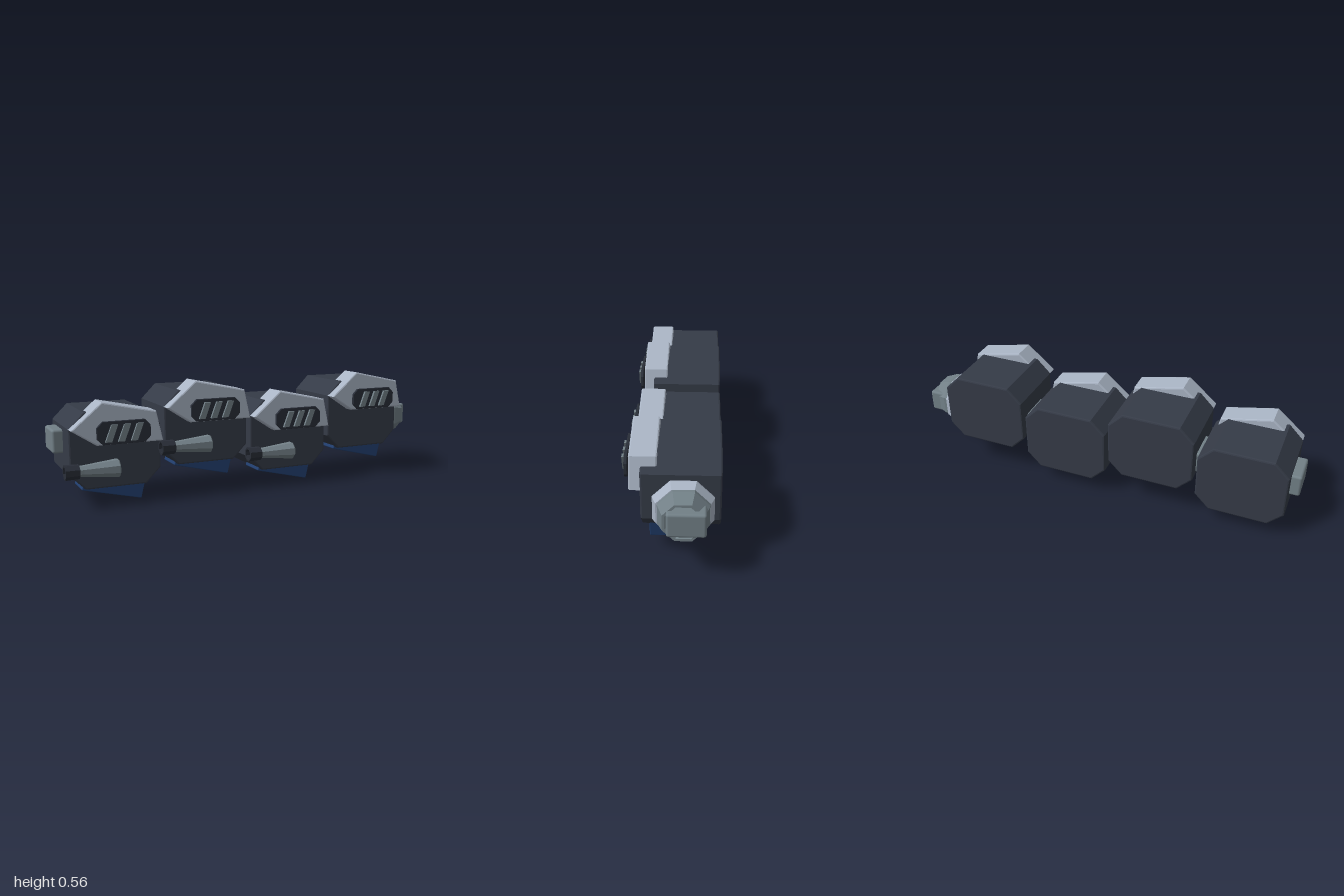
import * as THREE from 'three';
import { RoundedBoxGeometry } from 'three/addons/geometries/RoundedBoxGeometry.js';

const mat = (name, color) => Object.assign(new THREE.MeshStandardMaterial({ color }), { name });

export function createModel() {
  const hull = mat('dark hull', 0x353b47);
  const armor = mat('pale armor', 0xa9b4c4);
  const metal = mat('grey metal', 0x728087);
  const blue = mat('navy blue', 0x234172);
  const trim = mat('dark trim', 0x292e38);
  const model = new THREE.Group();
  model.name = 'segmentedMachine';

  const add = (parent, name, geometry, material, x = 0, y = 0, z = 0) => {
    const mesh = new THREE.Mesh(geometry, material);
    mesh.name = name;
    mesh.position.set(x, y, z);
    parent.add(mesh);
    return mesh;
  };

  // Outline extruded from z0 to z1, with its bevel kept inside the outline
  const slab = (points, z0, z1, bevel) => {
    const shape = new THREE.Shape(points.map(([x, y]) => new THREE.Vector2(x, y)));
    const g = new THREE.ExtrudeGeometry(shape, {
      depth: z1 - z0 - 2 * bevel, bevelEnabled: bevel > 0, bevelThickness: bevel,
      bevelSize: bevel, bevelOffset: -bevel, bevelSegments: 2,
    });
    return g.translate(0, 0, z0 + bevel);
  };

  // Rectangle with cut corners, counter-clockwise
  const cutRect = (x0, x1, y0, y1, c) => [
    [x0 + c, y0], [x1 - c, y0], [x1, y0 + c], [x1, y1 - c],
    [x1 - c, y1], [x0 + c, y1], [x0, y1 - c], [x0, y0 + c],
  ];

  // Faceted eight-sided lathe lying along x; dir is the way the profile runs
  const octLathe = (profile, dir) => {
    const pts = profile.map(([r, a]) => new THREE.Vector2(r, a));
    const g = new THREE.LatheGeometry(pts, 8).toNonIndexed();
    g.rotateY(Math.PI / 8).rotateZ(-dir * Math.PI / 2);
    g.computeVertexNormals();
    return g;
  };

  const bodyGeo = slab(cutRect(-0.218, 0.218, -0.18, 0.18, 0.073), -0.212, 0.13, 0.008);
  const armorGeo = slab([
    [-0.1, 0.03], [0.216, 0.03], [0.184, 0.173], [-0.073, 0.228], [-0.217, 0.106],
  ], 0.058, 0.178, 0.007);
  const ventGeo = slab(cutRect(-0.105, 0.147, 0.036, 0.142, 0.027), 0.188, 0.202, 0.002);
  const slatGeo = slab([[-0.03, -0.039], [0, -0.039], [0.03, 0.039], [0, 0.039]], 0.202, 0.214, 0);
  const keelGeo = new RoundedBoxGeometry(0.295, 0.13, 0.146, 1, 0.005);
  const barrelGeo = octLathe([[0, -0.2], [0.025, -0.2], [0.027, -0.165], [0.044, -0.005], [0.04, 0], [0, 0]], 1);
  const muzzleGeo = octLathe([[0, 0.185], [0.034, 0.185], [0.036, 0.25], [0.026, 0.25], [0.024, 0.21], [0, 0.21]], -1);
  const linkGeo = new RoundedBoxGeometry(0.12, 0.112, 0.166, 2, 0.012);

  // Four segments, alternately low and high
  for (let i = 0; i < 4; i++) {
    const cx = -0.733 + 0.4545 * i;
    const seg = new THREE.Group();
    seg.name = 'segment' + (i + 1);
    seg.position.set(cx, i % 2 ? 0.339 : 0.265, 0);
    model.add(seg);

    add(seg, 'body', bodyGeo, hull);
    add(seg, 'shoulderArmor', armorGeo, armor);
    add(seg, 'ventPlate', ventGeo, trim);
    for (let k = 0; k < 3; k++) add(seg, 'ventSlat', slatGeo, metal, -0.04 + 0.06 * k, 0.088);

    // Tilted keel below the body
    const keel = add(seg, 'keel', keelGeo, blue, 0, -0.16, 0.025);
    keel.rotation.z = -0.238;

    // Side gun, absent from the end segment
    if (i < 3) {
      add(seg, 'gunBarrel', barrelGeo, metal, 0, -0.08, 0.17);
      add(seg, 'gunMuzzle', muzzleGeo, trim, 0, -0.08, 0.17);
    }
    add(model, 'linkBlock', linkGeo, metal, cx - 0.207, 0.298, -0.068);
  }

  // End coupling: pale collar, hollow nozzle and a block in its mouth
  add(model, 'couplingCollar', octLathe([
    [0, 0.8], [0.142, 0.8], [0.142, 0.856], [0.124, 0.895], [0, 0.895],
  ], 1), armor, 0, 0.29, -0.052);
  add(model, 'couplingNozzle', octLathe([
    [0, 0.88], [0.119, 0.88], [0.119, 0.91], [0.094, 0.972], [0.082, 0.972], [0.068, 0.935], [0, 0.935],
  ], 1), metal, 0, 0.295, -0.055);
  add(model, 'couplingBlock', linkGeo, metal, 0.94, 0.298, -0.068);
  return model;
}
